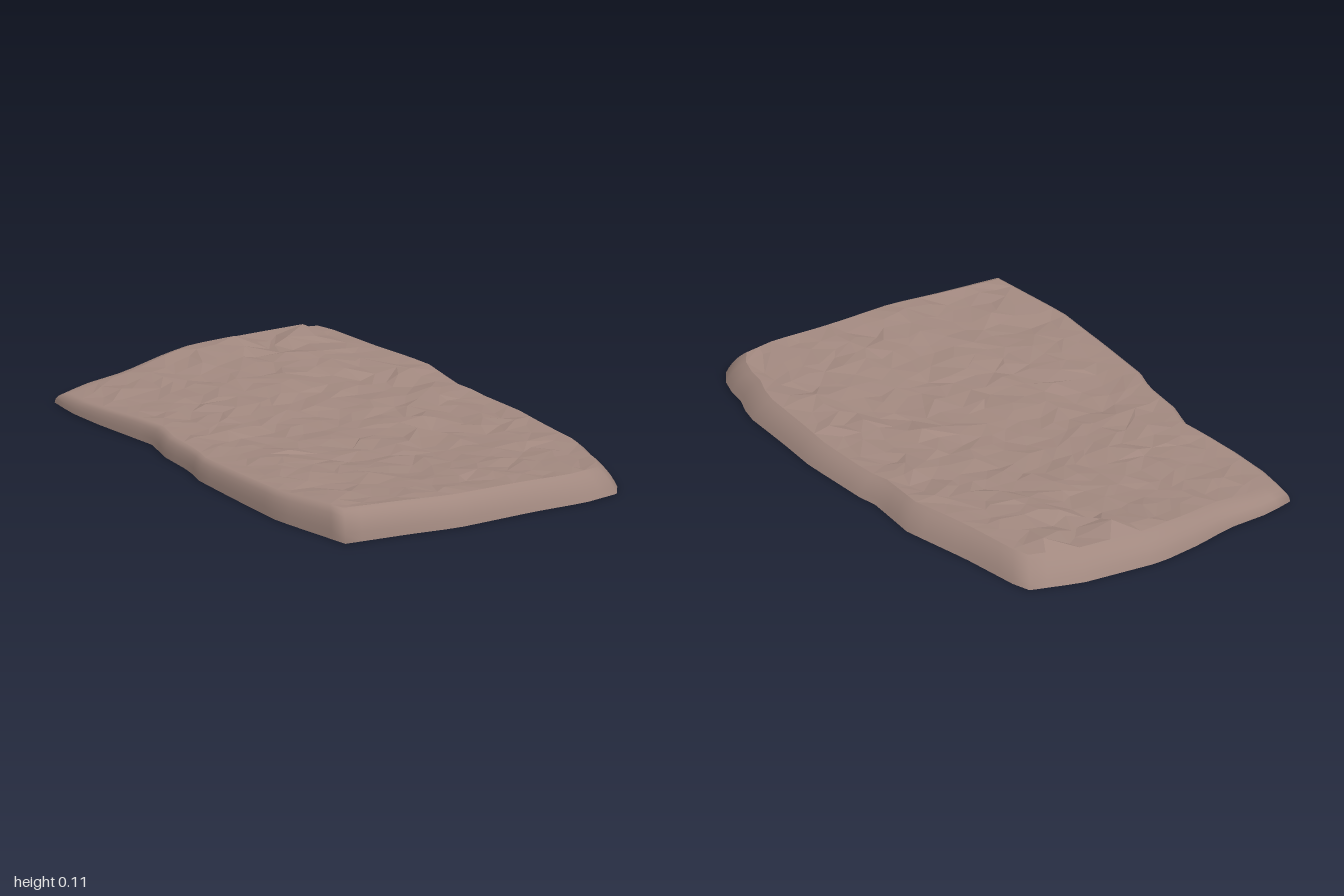
import * as THREE from 'three';

// Ground outline as four edges, [x, z]; front/back run left to right, sides run back to front
const back = [[-0.91, -0.575], [-0.88, -0.59], [-0.6, -0.61], [-0.32, -0.648], [-0.1, -0.615], [-0.03, -0.625], [0.27, -0.62], [0.45, -0.595], [0.68, -0.57], [0.8, -0.515], [0.9, -0.5], [0.985, -0.435]];
const front = [[-0.89, 0.51], [-0.77, 0.53], [-0.62, 0.53], [-0.32, 0.51], [-0.23, 0.55], [-0.03, 0.575], [0.06, 0.607], [0.3, 0.628], [0.56, 0.645], [0.89, 0.605]];
const left = [[-0.91, -0.575], [-0.97, -0.4], [-1, -0.1], [-0.97, 0.08], [-0.93, 0.23], [-0.92, 0.4], [-0.89, 0.51]];
const right = [[0.985, -0.435], [1, -0.3], [0.98, -0.1], [0.97, 0.2], [0.93, 0.38], [0.89, 0.605]];

// Surface heights over a coarse grid, rows from back to front
const heights = [
  [0.085, 0.085, 0.068, 0.075, 0.085],
  [0.085, 0.073, 0.06, 0.072, 0.095],
  [0.045, 0.067, 0.071, 0.086, 0.106],
];
// Rough spots: x, z, rise
const bumps = [[-0.82, -0.18, 0.035], [-0.77, -0.42, 0.036], [-0.6, -0.3, 0.025], [-0.45, -0.35, 0.022], [-0.3, -0.46, 0.018],
  [-0.08, -0.45, 0.018], [0.15, -0.25, 0.018], [0.8, -0.08, 0.015], [0.8, 0.12, 0.013], [0.5, 0.2, 0.012], [0.17, 0.37, 0.012]];

const NU = 26, NV = 17;

function seeded(seed) {
  return () => {
    seed = (seed * 1664525 + 1013904223) % 4294967296;
    return seed / 4294967296;
  };
}

// Point on a polyline at t in 0..1, by length
function polyline(points) {
  const path = new THREE.CurvePath();
  for (let i = 1; i < points.length; i++) {
    path.add(new THREE.LineCurve(new THREE.Vector2(...points[i - 1]), new THREE.Vector2(...points[i])));
  }
  return t => path.getPoint(t);
}
const edge = { back: polyline(back), front: polyline(front), left: polyline(left), right: polyline(right) };

// Blend the four edges into a patch
function patch(u, v) {
  const b = edge.back(u), f = edge.front(u), l = edge.left(v), r = edge.right(v);
  const mix = k => {
    const i = k === 'x' ? 0 : 1;
    const corners = (1 - v) * ((1 - u) * back[0][i] + u * right[0][i])
      + v * ((1 - u) * front[0][i] + u * front[front.length - 1][i]);
    return (1 - v) * b[k] + v * f[k] + (1 - u) * l[k] + u * r[k] - corners;
  };
  return [mix('x'), mix('y')];
}

// The rim lies inside the ground outline, least so at the front
const inset = ([x, z]) => [x * (x < 0 ? 0.915 : 0.94), z * (z < 0 ? 0.91 : 0.95)];

function heightAt(u, v) {
  const a = Math.min(u * 4, 3.999), b = Math.min(v * 2, 1.999);
  const i = Math.floor(a), j = Math.floor(b), s = a - i, t = b - j;
  const row = r => heights[r][i] * (1 - s) + heights[r][i + 1] * s;
  return row(j) * (1 - t) + row(j + 1) * t;
}

function makeGeometry(positions, index) {
  const g = new THREE.BufferGeometry();
  g.setAttribute('position', new THREE.Float32BufferAttribute(positions, 3));
  g.setIndex(index);
  g.computeVertexNormals();
  return g;
}

// Faceted upper surface from a jittered grid
function topGeometry() {
  const rand = seeded(17), pos = [], index = [];
  for (let j = 0; j <= NV; j++) {
    for (let i = 0; i <= NU; i++) {
      const rim = i === 0 || j === 0 || i === NU || j === NV;
      const k = rim ? 0 : 0.65;
      const u = (i + (rand() - 0.5) * k) / NU, v = (j + (rand() - 0.5) * k) / NV;
      const [x, z] = inset(patch(u, v));
      let y = heightAt(u, v);
      if (!rim) {
        // Broad swells, fine roughness, then the rough spots
        y += 0.004 * Math.sin(x * 9 + z * 5) * Math.cos(z * 11 - x * 3) + (rand() - 0.5) * 0.013 - 0.003;
        for (const [bx, bz, rise] of bumps) {
          const d = Math.hypot(x - bx, z - bz);
          if (d < 0.1) y += rise * (1 - d / 0.1) * (0.8 + rand() * 0.5);
        }
      }
      pos.push(x, y, z);
    }
  }
  for (let j = 0; j < NV; j++) {
    for (let i = 0; i < NU; i++) {
      const a = j * (NU + 1) + i, b = a + 1, c = a + NU + 1, d = c + 1;
      if (rand() < 0.5) index.push(a, c, b, b, c, d);
      else index.push(a, c, d, a, d, b);
    }
  }
  return makeGeometry(pos, index);
}

// Smooth side wall from the ground outline up to the rim: bevelled at the back, rounder at the front
function sideGeometry() {
  const loop = [], pos = [], index = [], rows = 5;
  for (let i = 0; i < NU; i++) loop.push([i / NU, 1]);
  for (let j = NV; j > 0; j--) loop.push([1, j / NV]);
  for (let i = NU; i > 0; i--) loop.push([i / NU, 0]);
  for (let j = 0; j < NV; j++) loop.push([0, j / NV]);
  const n = loop.length;
  for (let r = 0; r <= rows; r++) {
    const t = r / rows, angle = t * Math.PI / 2;
    for (const [u, v] of loop) {
      const round = 0.35 + 0.65 * v;
      const inward = THREE.MathUtils.lerp(t, 1 - Math.cos(angle), round);
      const up = THREE.MathUtils.lerp(t, Math.sin(angle), round);
      const p = patch(u, v), q = inset(p);
      pos.push(p[0] + (q[0] - p[0]) * inward, heightAt(u, v) * up, p[1] + (q[1] - p[1]) * inward);
    }
  }
  for (let r = 0; r < rows; r++) {
    for (let i = 0; i < n; i++) {
      const a = r * n + i, b = r * n + (i + 1) % n;
      index.push(a, b, a + n, b, b + n, a + n);
    }
  }
  return makeGeometry(pos, index);
}

export function createModel() {
  const group = new THREE.Group();
  group.name = 'rockSlab';

  const stone = new THREE.MeshStandardMaterial({ color: 0xa1887f, side: THREE.DoubleSide });
  stone.name = 'brown stone';

  // Flat facets: unshared corners keep each face's own normal
  const topFaces = topGeometry().toNonIndexed();
  topFaces.computeVertexNormals();
  const top = new THREE.Mesh(topFaces, stone);
  top.name = 'roughTop';

  const side = new THREE.Mesh(sideGeometry(), stone);
  side.name = 'roundedSide';

  group.add(top, side);
  return group;
}
